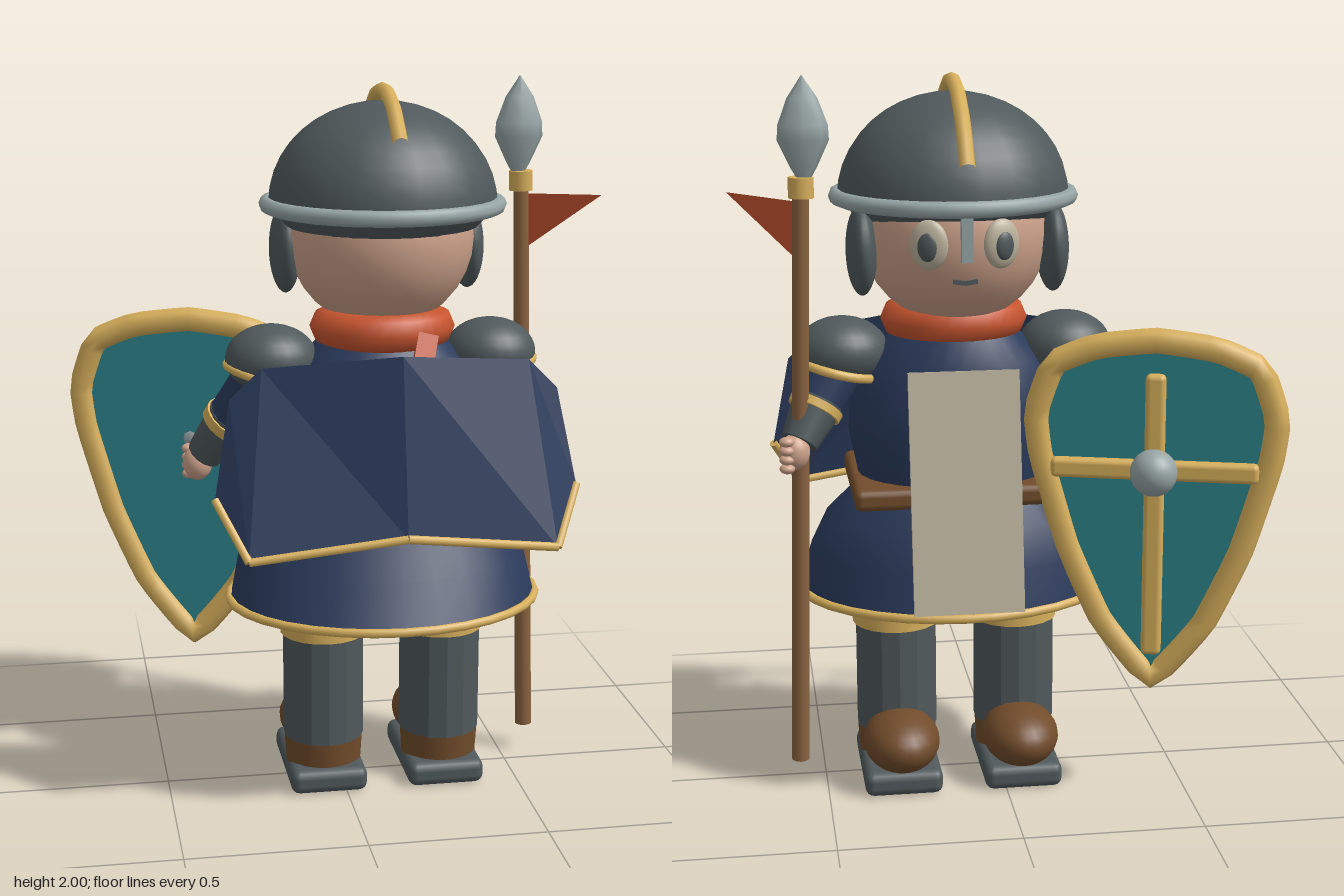
import * as THREE from 'three';
import { RoundedBoxGeometry } from 'three/addons/geometries/RoundedBoxGeometry.js';

const paint = (name, color, extra = {}) => {
  const m = new THREE.MeshStandardMaterial({ color, ...extra });
  m.name = name;
  return m;
};
const V = (x, y, z) => new THREE.Vector3(x, y, z);
const C = 0.12; // x of the body's centre line

// Stack of elliptical rings [y, rx, rz, zCentre] joined into a skin
function loft(rings, seg = 28) {
  const pos = [], idx = [];
  rings.forEach(([y, rx, rz, cz], i) => {
    for (let j = 0; j < seg; j++) {
      const a = (j / seg) * Math.PI * 2;
      pos.push(Math.sin(a) * rx, y, Math.cos(a) * rz + cz);
      if (i === 0) continue;
      const k = (j + 1) % seg, p = (i - 1) * seg, q = i * seg;
      idx.push(p + j, p + k, q + k, p + j, q + k, q + j);
    }
  });
  const g = new THREE.BufferGeometry();
  g.setAttribute('position', new THREE.Float32BufferAttribute(pos, 3));
  g.setIndex(idx);
  g.computeVertexNormals();
  return g;
}

export function createModel() {
  const model = new THREE.Group();
  const two = { side: THREE.DoubleSide };
  const navy = paint('navy cloth', 0x2b3b5c, two);
  const steel = paint('dark steel', 0x50595c);
  const pale = paint('pale steel', 0x97a5a6);
  const gold = paint('gold', 0xd8b05c);
  const orange = paint('orange cloth', 0xc8552f, two);
  const skin = paint('skin', 0xcda28a);
  const wood = paint('wood', 0x8a6340);
  const leather = paint('leather', 0x714c2b);
  const teal = paint('teal', 0x2c838b);
  const linen = paint('linen', 0xbdb39d);
  navy.flatShading = false;

  const add = (name, geo, mat, x = 0, y = 0, z = 0, parent = model) => {
    const m = new THREE.Mesh(geo, mat);
    m.name = name;
    m.position.set(x, y, z);
    parent.add(m);
    return m;
  };
  const ball = (name, mat, x, y, z, rx, ry = rx, rz = rx, parent = model) => {
    const m = add(name, new THREE.SphereGeometry(1, 24, 16), mat, x, y, z, parent);
    m.scale.set(rx, ry, rz);
    return m;
  };
  // Cylinder or ring set along the line from a to b
  const rod = (name, mat, a, b, r0, r1 = r0, seg = 14) => {
    const d = b.clone().sub(a);
    const m = add(name, new THREE.CylinderGeometry(r1, r0, d.length(), seg), mat);
    m.position.copy(a).addScaledVector(d, 0.5);
    m.quaternion.setFromUnitVectors(V(0, 1, 0), d.normalize());
    return m;
  };
  const tube = (name, mat, pts, r, closed = false, parent = model) =>
    add(name, new THREE.TubeGeometry(new THREE.CatmullRomCurve3(pts, closed, 'catmullrom', 0.2), 40, r, 8, closed), mat, 0, 0, 0, parent);
  const hoop = (name, mat, x, y, z, rx, rz, r, thick = 1) => {
    const m = add(name, new THREE.TorusGeometry(1, r / rx, 8, 32).rotateX(Math.PI / 2), mat, x, y, z);
    m.scale.set(rx, rx * thick, rz);
    return m;
  };

  // Legs, boots and soles
  for (const s of [-1, 1]) {
    const x = C + s * 0.17;
    const flatLeg = new THREE.CylinderGeometry(0.115, 0.115, 0.66, 14).toNonIndexed();
    flatLeg.computeVertexNormals();
    add('leg', flatLeg, steel, x, 0.47, 0.03);
    add('kneeBand', new THREE.CylinderGeometry(0.123, 0.123, 0.04, 20), gold, x, 0.47, 0.03);
    add('bootHeel', new THREE.CylinderGeometry(0.113, 0.108, 0.08, 20), leather, x, 0.1, 0.03);
    ball('bootToe', leather, x, 0.135, -0.105, 0.108, 0.085, 0.142);
    add('sole', new RoundedBoxGeometry(0.22, 0.07, 0.365, 2, 0.025), steel, x, 0.035, -0.018);
  }

  // Tunic, skirt, belt and front panel
  add('skirt', loft([[0.56, 0.435, 0.35, 0.04], [0.68, 0.41, 0.305, 0.02], [0.78, 0.365, 0.265, 0.005], [0.87, 0.27, 0.215, 0.01]]), navy, C);
  hoop('skirtHem', gold, C, 0.562, 0.04, 0.437, 0.352, 0.013);
  add('torso', loft([[0.84, 0.26, 0.2, 0.02], [0.92, 0.275, 0.215, 0.02], [1.02, 0.295, 0.222, 0.022], [1.12, 0.29, 0.215, 0.02], [1.22, 0.25, 0.18, 0.01], [1.29, 0.18, 0.15, 0], [1.34, 0.12, 0.12, 0]]), navy, C);
  add('belt', new RoundedBoxGeometry(0.59, 0.06, 0.45, 2, 0.02), leather, C, 0.866, 0.03);
  const panel = add('frontPanel', new THREE.BoxGeometry(0.3, 0.655, 0.014), linen, C, 0.9, -0.257);
  panel.rotation.x = 0.175;

  // Scarf with its tail
  hoop('scarf', orange, C, 1.33, 0.015, 0.15, 0.135, 0.052);
  const tail = add('scarfTail', new THREE.BoxGeometry(0.055, 0.13, 0.025), orange, 0.2, 1.275, 0.205);
  tail.rotation.set(-0.5, 0, -0.25);

  // Cape: five fold lines, each with a top and a bottom point
  const half = [[0, 1.305, 0.32, 0, 0.83, 0.41], [0.365, 1.265, 0.225, 0.42, 0.775, 0.37], [0.45, 1.18, 0.21, 0.497, 0.92, 0.262]];
  const folds = [2, 1, 0, 1, 2].map((k, i) => {
    const [a, b, c, d, e, f] = half[k], s = i < 2 ? -1 : 1;
    return [V(C + s * a, b, c), V(C + s * d, e, f)];
  });
  const sheet = [];
  for (let i = 0; i < 4; i++) {
    const [a, b] = folds[i], [c, d] = folds[i + 1];
    sheet.push(a, b, d, a, d, c);
  }
  const capeGeo = new THREE.BufferGeometry().setFromPoints(sheet);
  capeGeo.computeVertexNormals();
  add('cape', capeGeo, navy);
  for (let i = 0; i < 4; i++) rod('capeHem', gold, folds[i][1], folds[i + 1][1], 0.012, 0.012, 8);

  // Arms: pauldron, sleeve, bracer, bands and hand
  const arms = [
    { s: 1, elbow: V(0.5, 1.11, -0.035), hand: V(0.57, 0.99, -0.1) },
    { s: -1, elbow: V(-0.29, 1.07, -0.06), hand: V(-0.385, 0.915, -0.14) },
  ];
  for (const { s, elbow, hand } of arms) {
    const shoulder = V(C + s * 0.31, 1.23, 0.005);
    ball('pauldron', steel, shoulder.x, 1.245, 0.005, 0.128, 0.095, 0.12);
    const trim = hoop('pauldronTrim', gold, shoulder.x + s * 0.012, 1.2, 0, 0.113, 0.11, 0.013);
    trim.rotation.z = s * 0.25;
    rod('upperArm', navy, shoulder, elbow, 0.08, 0.07);
    ball('elbow', navy, elbow.x, elbow.y, elbow.z, 0.07);
    const wrist = elbow.clone().lerp(hand, 0.8);
    rod('bracer', steel, elbow, wrist, 0.072, 0.052);
    rod('bracerBand', gold, elbow.clone().lerp(hand, 0.05), elbow.clone().lerp(hand, 0.2), 0.077, 0.075, 20);
    ball('hand', skin, hand.x, hand.y, hand.z, 0.042, 0.05, 0.042);
    for (let i = 0; i < 4; i++)
      ball('finger', skin, hand.x + s * 0.022, hand.y + 0.036 - i * 0.025, hand.z - 0.03, 0.021, 0.014, 0.02);
  }

  // Head and face
  ball('head', skin, C, 1.575, -0.018, 0.257, 0.255, 0.255);
  for (const s of [-1, 1]) {
    const eye = new THREE.Group();
    eye.name = 'eye';
    eye.position.set(C + s * 0.095, 1.572, -0.25);
    eye.rotation.y = -s * 0.38;
    model.add(eye);
    ball('eyeWhite', linen, 0, 0, 0, 0.052, 0.066, 0.022, eye);
    ball('pupil', steel, 0, -0.004, -0.016, 0.027, 0.038, 0.012, eye);
    ball('earGuard', steel, C + s * 0.258, 1.535, -0.08, 0.042, 0.122, 0.108);
  }
  add('noseGuard', new THREE.BoxGeometry(0.03, 0.12, 0.022), pale, C, 1.59, -0.285);
  for (const s of [-1, 1]) {
    const lip = add('mouth', new THREE.BoxGeometry(0.034, 0.012, 0.012), steel, C + s * 0.015, 1.472, -0.252);
    lip.rotation.z = s * 0.15;
  }

  // Helmet: dome, neck skirt, brim and crest
  const dome = add('helmetDome', new THREE.SphereGeometry(1, 22, 10, 0, Math.PI * 2, 0, Math.PI / 2), steel, C, 1.665, 0.007);
  dome.scale.set(0.315, 0.28, 0.308);
  const steelRim = add('helmetRim', loft([[1.605, 0.262, 0.245, 0.01], [1.64, 0.295, 0.285, 0.008], [1.67, 0.314, 0.307, 0.007]]), steel, C);
  steelRim.position.y = 0.004;
  ball('helmetNape', steel, C, 1.64, 0.03, 0.262, 0.075, 0.235);
  hoop('helmetBrim', pale, C, 1.668, 0.01, 0.317, 0.31, 0.022);
  const crest = [[0.26, 1.855], [0.16, 1.935], [0.08, 1.965], [0, 1.972], [-0.1, 1.95], [-0.19, 1.895], [-0.25, 1.84], [-0.3, 1.775]];
  tube('crest', gold, crest.map(([z, y]) => V(C, y, z)), 0.021);

  // Spear with collar, blade and pennant
  const foot = V(0.575, 0.08, -0.073), neck = V(0.536, 1.71, -0.1);
  rod('spearShaft', wood, foot, neck, 0.025, 0.022, 12);
  rod('spearCollar', gold, V(0.536, 1.68, -0.1), V(0.535, 1.735, -0.1), 0.034, 0.034, 12);
  const edge = [[0.018, 0], [0.035, 0.03], [0.068, 0.1], [0.066, 0.14], [0.04, 0.21], [0, 0.27]];
  const blade = add('spearBlade', new THREE.LatheGeometry(edge.map(([x, y]) => new THREE.Vector2(x, y)), 8), pale, 0.527, 1.73, -0.1);
  blade.scale.z = 0.62;
  const flag = new THREE.BufferGeometry().setFromPoints([V(0.545, 1.51, -0.1), V(0.73, 1.68, 0.04), V(0.54, 1.67, -0.105)]);
  flag.computeVertexNormals();
  add('pennant', flag, orange);

  // Shield, turned outward; its face looks along local -z
  const shield = new THREE.Group();
  shield.name = 'shield';
  shield.position.set(-0.39, 0, -0.275);
  shield.rotation.y = -0.29;
  model.add(shield);
  const side = [[0.16, 1.285], [0.275, 1.235], [0.322, 1.1], [0.308, 0.98], [0.235, 0.73], [0.14, 0.52]];
  const rim = [[0, 1.305], ...side, [0, 0.355], ...side.slice().reverse().map(([x, y]) => [-x, y])];
  const face = new THREE.Shape(rim.map(([x, y]) => new THREE.Vector2(x, y)));
  add('shieldFace', new THREE.ExtrudeGeometry(face, { depth: 0.02, bevelEnabled: false }), teal, 0, 0, -0.01, shield);
  add('shieldRim', new THREE.TubeGeometry(new THREE.CatmullRomCurve3(rim.map(([x, y]) => V(x, y, 0)), true, 'catmullrom', 0.15), 56, 0.036, 8, true), gold, 0, 0, 0, shield);
  add('shieldUpright', new RoundedBoxGeometry(0.055, 0.79, 0.04, 2, 0.015), gold, 0, 0.825, -0.022, shield);
  add('shieldCrossbar', new RoundedBoxGeometry(0.56, 0.055, 0.04, 2, 0.015), gold, 0, 0.955, -0.022, shield);
  ball('shieldBoss', pale, 0, 0.955, -0.05, 0.064, 0.064, 0.064, shield);

  return model;
}
